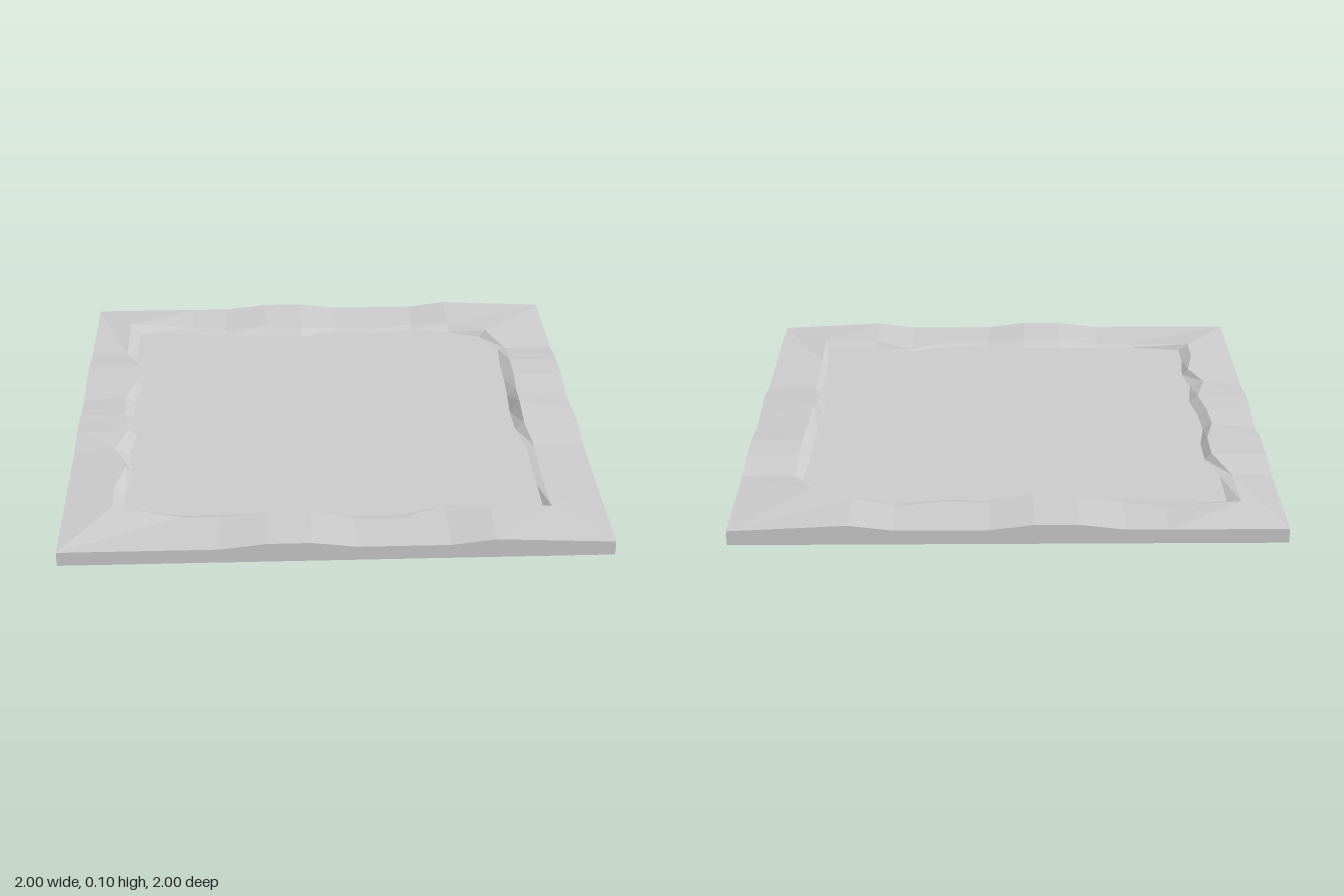
import * as THREE from 'three';

const LOW = 0.055, HIGH = 0.075, FLOOR = 0.048;

// Each row: [position along side, outer height, crest distance from centre, crest height, foot distance]
const back = [
  [-0.57, LOW, 0.82, LOW, 0.77], [-0.42, LOW, 0.785, LOW, 0.745], [-0.25, HIGH, 0.78, HIGH, 0.73],
  [-0.09, HIGH, 0.75, HIGH, 0.72], [0.07, LOW, 0.79, LOW, 0.755], [0.24, LOW, 0.77, LOW, 0.745],
  [0.41, LOW, 0.815, LOW, 0.77], [0.57, HIGH, 0.785, HIGH, 0.735],
];
const right = [
  [-0.56, LOW, 0.8, LOW, 0.77], [-0.41, HIGH, 0.8, HIGH, 0.76], [-0.27, HIGH, 0.8, HIGH, 0.76],
  [-0.13, LOW, 0.79, 0.08, 0.755], [0.01, 0.066, 0.785, 0.098, 0.747], [0.15, HIGH, 0.785, 0.078, 0.75],
  [0.3, LOW, 0.805, LOW, 0.775], [0.44, LOW, 0.8, LOW, 0.775], [0.59, LOW, 0.8, LOW, 0.775],
];
const front = [
  [0.57, HIGH, 0.78, HIGH, 0.755], [0.41, LOW, 0.73, LOW, 0.72], [0.24, LOW, 0.815, LOW, 0.78],
  [0.07, LOW, 0.815, LOW, 0.78], [-0.09, HIGH, 0.785, HIGH, 0.75], [-0.25, HIGH, 0.785, HIGH, 0.75],
  [-0.42, LOW, 0.785, LOW, 0.757], [-0.57, LOW, 0.78, LOW, 0.757],
];
const left = [
  [0.59, LOW, 0.82, HIGH, 0.78], [0.44, LOW, 0.79, HIGH, 0.765], [0.3, LOW, 0.84, HIGH, 0.785],
  [0.15, HIGH, 0.8, HIGH, 0.765], [0.01, 0.066, 0.82, HIGH, 0.785], [-0.13, LOW, 0.825, HIGH, 0.79],
  [-0.27, HIGH, 0.79, HIGH, 0.765], [-0.41, HIGH, 0.79, HIGH, 0.765], [-0.56, LOW, 0.85, LOW, 0.805],
];

// Four rings from the ground edge inward: bottom, outer top edge, crest, wall foot
const rings = [[], [], [], []];
function addStation(outer, outerY, crest, crestY, foot) {
  rings[0].push([outer[0], 0, outer[1]]);
  rings[1].push([outer[0], outerY, outer[1]]);
  rings[2].push([crest[0], crestY, crest[1]]);
  rings[3].push([foot[0], FLOOR, foot[1]]);
}
function addSide(rows, place) {
  for (const [t, outerY, crest, crestY, foot] of rows) {
    addStation(place(t, 1), outerY, place(t, crest), crestY, place(t, foot));
  }
}
addStation([-1, -1], LOW, [-0.85, -0.82], HIGH, [-0.805, -0.77]);
addSide(back, (t, d) => [t, -d]);
addStation([1, -1], LOW, [0.73, -0.7], HIGH, [0.7, -0.69]);
addSide(right, (t, d) => [d, t]);
addStation([1, 1], LOW, [0.8, 0.78], HIGH, [0.775, 0.755]);
addSide(front, (t, d) => [t, d]);
addStation([-1, 1], LOW, [-0.82, 0.73], HIGH, [-0.78, 0.725]);
addSide(left, (t, d) => [-d, t]);

// Closed band of quads between two neighbouring rings
function band(a, b) {
  const n = a.length, pos = [];
  for (let i = 0; i < n; i++) {
    const j = (i + 1) % n;
    pos.push(...a[i], ...b[i], ...a[j], ...a[j], ...b[i], ...b[j]);
  }
  const g = new THREE.BufferGeometry();
  g.setAttribute('position', new THREE.Float32BufferAttribute(pos, 3));
  g.computeVertexNormals();
  return g;
}

export function createModel() {
  const group = new THREE.Group();
  const material = new THREE.MeshStandardMaterial({ color: 0xcccccc, flatShading: true });
  const add = (name, geometry) => {
    const mesh = new THREE.Mesh(geometry, material);
    mesh.name = name;
    group.add(mesh);
    return mesh;
  };

  // Slab edge, uneven rim and the short slope down to the floor
  add('slabEdge', band(rings[0], rings[1]));
  add('rim', band(rings[1], rings[2]));
  add('innerWall', band(rings[2], rings[3]));

  // Sunken floor
  const outline = new THREE.Shape(rings[3].map(([x, , z]) => new THREE.Vector2(x, -z)));
  add('floor', new THREE.ShapeGeometry(outline).rotateX(-Math.PI / 2)).position.y = FLOOR;

  // Underside
  add('underside', new THREE.PlaneGeometry(2, 2).rotateX(Math.PI / 2));
  return group;
}
